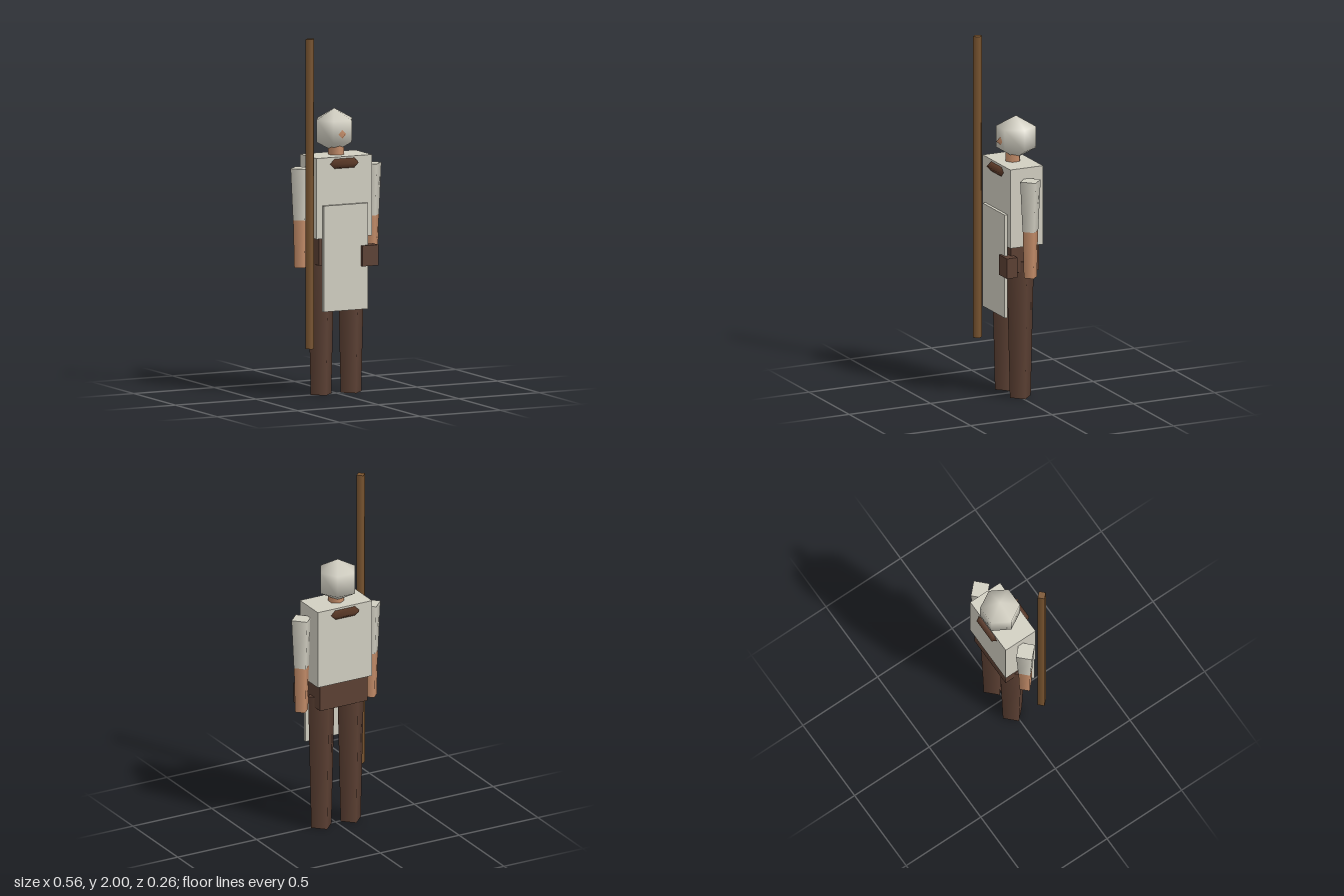
import * as THREE from 'three';

const mat = (name, color) => {
  const m = new THREE.MeshStandardMaterial({ color });
  m.name = name;
  return m;
};

export function createModel() {
  const cream = mat('cream cloth', 0xd2cfc2);
  const brown = mat('brown leather', 0x5c4033);
  const collarBrown = mat('collar brown', 0x5c3a28);
  const skin = mat('skin', 0xc68e6a);
  const wood = mat('wood', 0x7a5530);

  const model = new THREE.Group();
  model.name = 'staffBearer';
  const zc = -0.006; // body centre line

  const add = (name, geometry, material, x, y, z) => {
    const mesh = new THREE.Mesh(geometry, material);
    mesh.name = name;
    mesh.position.set(x, y, z);
    model.add(mesh);
    return mesh;
  };
  // Box given by its limits on each axis
  const box = (name, material, [x0, x1], [y0, y1], [z0, z1]) =>
    add(name, new THREE.BoxGeometry(x1 - x0, y1 - y0, z1 - z0), material,
      (x0 + x1) / 2, (y0 + y1) / 2, (z0 + z1) / 2);
  // Tapered upright limb between two heights
  const limb = (name, material, x, z, y0, y1, rBottom, rTop, sides = 4) =>
    add(name, new THREE.CylinderGeometry(rTop, rBottom, y1 - y0, sides), material, x, (y0 + y1) / 2, z);

  // Body
  box('torso', cream, [-0.172, 0.172], [0.88, 1.33], [-0.106, 0.094]);
  box('pelvis', brown, [-0.15, 0.15], [0.73, 0.89], [-0.092, 0.08]);
  limb('neck', skin, 0, zc, 1.31, 1.42, 0.045, 0.045, 6);

  // Arms and legs
  for (const [side, s] of [['left', 1], ['right', -1]]) {
    limb(side + 'Leg', brown, s * 0.093, zc, 0, 0.79, 0.064, 0.084);
    limb(side + 'Sleeve', cream, s * 0.219, zc, 0.98, 1.268, 0.048, 0.063);
    limb(side + 'Forearm', skin, s * 0.219, zc, 0.715, 0.98, 0.04, 0.047);
  }

  // Head, its front corner showing through the hood
  add('head', new THREE.SphereGeometry(0.1, 4, 2), skin, 0, 1.45, -0.005).scale.x = 0.95;
  add('hood', new THREE.SphereGeometry(0.127, 6, 3), cream, 0, 1.463, -0.025).scale.y = 0.965;

  // Collar ring, cutting through the chest
  add('collar', new THREE.TorusGeometry(0.119, 0.027, 4, 6), collarBrown, 0, 1.293, zc).rotation.x = Math.PI / 2;

  // Gear
  box('apron', cream, [-0.137, 0.137], [0.475, 1.065], [0.093, 0.112]);
  box('pouch', brown, [0.095, 0.195], [0.715, 0.83], [0.062, 0.126]);
  limb('staff', wood, -0.219, 0.103, 0.275, 2, 0.027, 0.027);

  return model;
}
